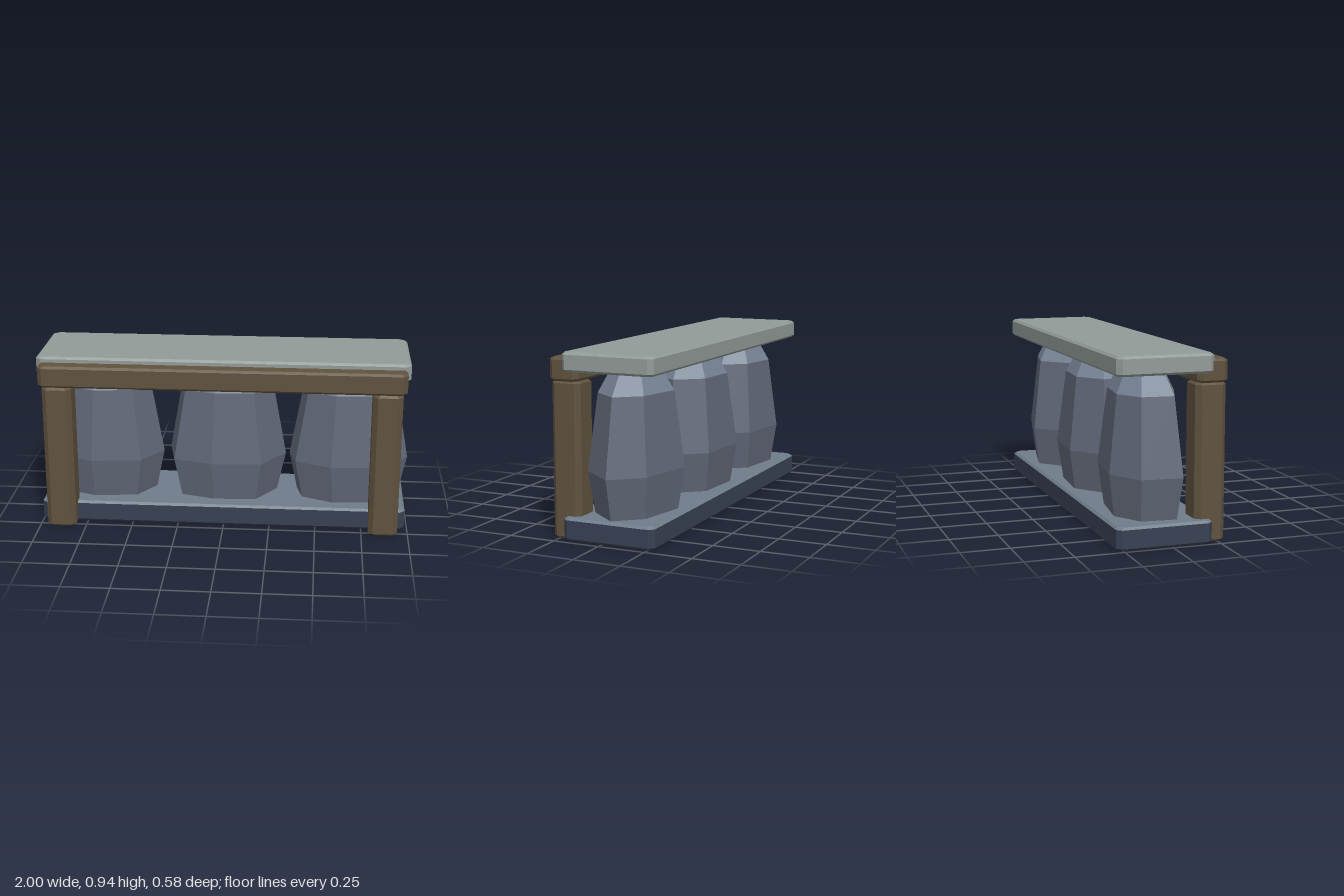
import * as THREE from 'three';

const paint = (color) => new THREE.MeshStandardMaterial({ color, flatShading: true });
const wood = paint(0x60533f), slate = paint(0x929b98), baseDark = paint(0x384154);
const baseLight = paint(0x6f7c8a), stone = paint(0x616878), stoneCap = paint(0x768395);

// Faceted skin through rings of [x, y, z], each listed front, right, back, left
function loft(rings, capBottom, capTop) {
  const n = rings[0].length, pos = [];
  const tri = (a, b, c) => pos.push(...a, ...b, ...c);
  for (let r = 0; r < rings.length - 1; r++) {
    const lo = rings[r], hi = rings[r + 1];
    for (let i = 0; i < n; i++) {
      const j = (i + 1) % n;
      tri(lo[i], lo[j], hi[j]);
      tri(lo[i], hi[j], hi[i]);
    }
  }
  const bottom = rings[0], top = rings[rings.length - 1];
  for (let i = 1; i < n - 1; i++) {
    if (capBottom) tri(bottom[0], bottom[i + 1], bottom[i]);
    if (capTop) tri(top[0], top[i], top[i + 1]);
  }
  const g = new THREE.BufferGeometry();
  g.setAttribute('position', new THREE.Float32BufferAttribute(pos, 3));
  g.computeVertexNormals();
  return g;
}

// Four rings of a box with all its edges chamfered
function chamferRings([x0, x1], [y0, y1], [z0, z1]) {
  const bevel = 0.012, c = 0.025;
  const ring = (y, b) => {
    const l = x0 + b, r = x1 - b, k = z0 + b, f = z1 - b;
    return [[l + c, f], [r - c, f], [r, f - c], [r, k + c], [r - c, k], [l + c, k], [l, k + c], [l, f - c]]
      .map(([x, z]) => [x, y, z]);
  };
  return [ring(y0, bevel), ring(y0 + bevel, 0), ring(y1 - bevel, 0), ring(y1, bevel)];
}

export function createModel() {
  const model = new THREE.Group();
  const add = (name, geometry, material, parent = model) => {
    const mesh = new THREE.Mesh(geometry, material);
    mesh.name = name;
    parent.add(mesh);
  };

  // Base slab with a paler upper face, and the slab on top
  const depth = [-0.288, 0.21];
  const base = chamferRings([-1, 0.984], [0.003, 0.12], depth);
  add('baseSlab', loft(base.slice(0, 3), true, false), baseDark);
  add('baseSurface', loft(base.slice(2), false, true), baseLight);
  add('topSlab', loft(chamferRings([-1, 0.984], [0.845, 0.942], depth), true, true), slate);

  // Timber frame along the front
  const frameDepth = [0.13, 0.289];
  add('rightPost', loft(chamferRings([-0.96, -0.803], [0, 0.795], frameDepth), true, true), wood);
  add('leftPost', loft(chamferRings([0.787, 0.944], [0, 0.795], frameDepth), true, true), wood);
  add('frontBeam', loft(chamferRings([-0.98, 0.964], [0.795, 0.912], frameDepth), true, true), wood);

  // Seven-sided boulders: widest outline, scaled at each height about the boulder's centre
  const boulders = [
    ['rightBoulder', -0.66, [[-0.73, 0.15], [-0.46, 0.12], [-0.35, -0.05], [-0.46, -0.21],
      [-0.78, -0.255], [-0.95, -0.15], [-0.97, 0.06]]],
    ['middleBoulder', 0, [[-0.07, 0.15], [0.2, 0.135], [0.33, -0.06], [0.19, -0.235],
      [-0.14, -0.26], [-0.32, -0.12], [-0.28, 0.085]]],
    ['leftBoulder', 0.67, [[0.58, 0.155], [0.85, 0.135], [1, -0.045], [0.87, -0.2],
      [0.56, -0.265], [0.35, -0.07], [0.385, 0.07]]],
  ];
  const cz = -0.045;
  const levels = [[0.08, 0.83], [0.335, 1], [0.728, 0.78], [0.87, 0.45]];
  for (const [name, cx, outline] of boulders) {
    const rings = levels.map(([y, s]) =>
      outline.map(([x, z]) => [cx + (x - cx) * s, y, cz + (z - cz) * s]));
    const boulder = new THREE.Group();
    boulder.name = name;
    add('boulderBody', loft(rings.slice(0, 3), true, false), stone, boulder);
    add('boulderShoulder', loft(rings.slice(2), false, true), stoneCap, boulder);
    model.add(boulder);
  }
  return model;
}
